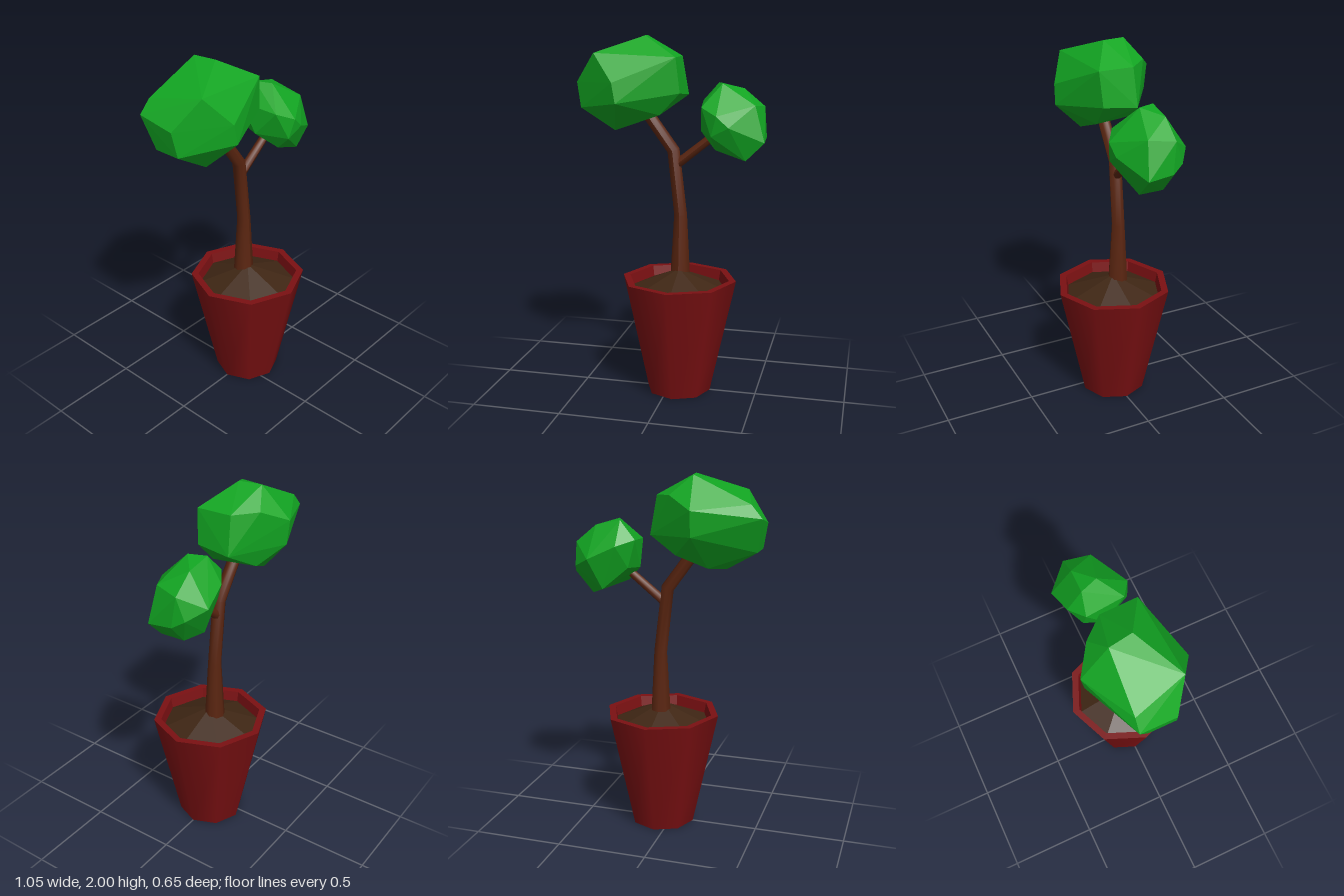
import * as THREE from 'three';
import { ConvexGeometry } from 'three/addons/geometries/ConvexGeometry.js';

const material = (color, flatShading = false) => new THREE.MeshStandardMaterial({ color, flatShading });
const POT = material(0x7a1012);
const SOIL = material(0x3f2614, true);
const BARK = material(0x5a2510);
const LEAF = material(0x12a522, true);
const SIDES = 8;

function part(name, geometry, mat, parent) {
  const mesh = new THREE.Mesh(geometry, mat);
  mesh.name = name;
  parent.add(mesh);
  return mesh;
}

// Octagonal limb through stations [x, y, radius, tilt], bent in the xy plane
function limb(stations) {
  const n = stations.length - 1;
  const geo = new THREE.CylinderGeometry(1, 1, n, SIDES, n);
  const pos = geo.attributes.position;
  for (let i = 0; i < pos.count; i++) {
    const [x, y, r, tilt] = stations[Math.round(pos.getY(i) + n / 2)];
    const px = pos.getX(i) * r;
    pos.setXYZ(i, x + px * Math.cos(tilt), y + px * Math.sin(tilt), pos.getZ(i) * r);
  }
  geo.computeVertexNormals();
  return geo;
}

const hull = (points) => new ConvexGeometry(points.map((p) => new THREE.Vector3(...p)));

export function createModel() {
  const model = new THREE.Group();
  model.name = 'pottedTree';

  // Pot: outer wall with base, flat rim, inner lip
  const pot = new THREE.Group();
  pot.name = 'pot';
  pot.position.x = 0.055;
  model.add(pot);
  part('potWall', new THREE.CylinderGeometry(0.325, 0.182, 0.66, SIDES, 1, true), POT, pot).position.y = 0.33;
  const base = part('potBase', new THREE.CircleGeometry(0.182, SIDES), POT, pot);
  base.rotation.set(Math.PI / 2, 0, Math.PI / 2);
  const rim = part('potRim', new THREE.RingGeometry(0.285, 0.325, SIDES), POT, pot);
  rim.rotation.x = -Math.PI / 2;
  rim.position.y = 0.66;
  const lipMaterial = material(0x7a1012, true);
  lipMaterial.side = THREE.DoubleSide;
  part('potLip', new THREE.CylinderGeometry(0.285, 0.272, 0.07, SIDES, 1, true), lipMaterial, pot).position.y = 0.625;

  // Soil mound
  part('soil', new THREE.ConeGeometry(0.277, 0.115, SIDES), SOIL, pot).position.y = 0.6575;

  // Trunk with a side branch
  const tree = new THREE.Group();
  tree.name = 'tree';
  model.add(tree);
  const trunk = limb([
    [0.055, 0.66, 0.057, 0],
    [0.056, 1.02, 0.037, 0.06],
    [0.015, 1.38, 0.036, 0.36],
    [-0.16, 1.62, 0.034, 0.63],
  ]);
  part('trunk', trunk, BARK, tree).position.z = -0.03;
  const branch = limb([[0.03, 1.3, 0.026, -0.89], [0.28, 1.5, 0.023, -0.89]]);
  part('branch', branch, BARK, tree).position.z = -0.03;

  // Faceted foliage clumps
  part('largeFoliage', hull([
    [-0.165, 2.0, -0.167], [-0.145, 2.0, -0.04], [-0.395, 1.91, 0.105],
    [-0.27, 1.76, 0.195], [-0.25, 1.65, 0.2], [0.05, 1.89, 0.08],
    [0.045, 1.89, -0.12], [0.08, 1.68, -0.13], [0.07, 1.7, 0.065],
    [-0.19, 1.835, -0.325], [-0.19, 1.7, -0.31], [-0.055, 1.9, -0.23],
    [-0.53, 1.79, -0.185], [-0.52, 1.75, 0.015], [-0.47, 1.86, -0.18],
    [-0.495, 1.61, -0.12], [-0.495, 1.61, 0.03], [-0.3, 1.49, 0.03],
    [-0.24, 1.52, -0.15], [-0.045, 1.58, 0.05], [-0.08, 1.59, -0.2],
  ]), LEAF, tree);
  part('smallFoliage', hull([
    [0.25, 1.75, -0.125], [0.285, 1.75, -0.03], [0.39, 1.72, -0.12],
    [0.16, 1.65, -0.145], [0.19, 1.63, 0.077], [0.28, 1.59, 0.137],
    [0.345, 1.53, 0.13], [0.25, 1.48, 0.12], [0.505, 1.625, -0.12],
    [0.47, 1.64, 0.02], [0.525, 1.445, 0.04], [0.52, 1.46, -0.1],
    [0.4, 1.55, -0.237], [0.25, 1.62, -0.21], [0.495, 1.5, -0.165],
    [0.425, 1.345, 0.04], [0.42, 1.345, -0.1], [0.34, 1.38, -0.17],
    [0.26, 1.4, 0.04], [0.165, 1.49, -0.045], [0.2, 1.5, -0.15],
  ]), LEAF, tree);

  return model;
}
